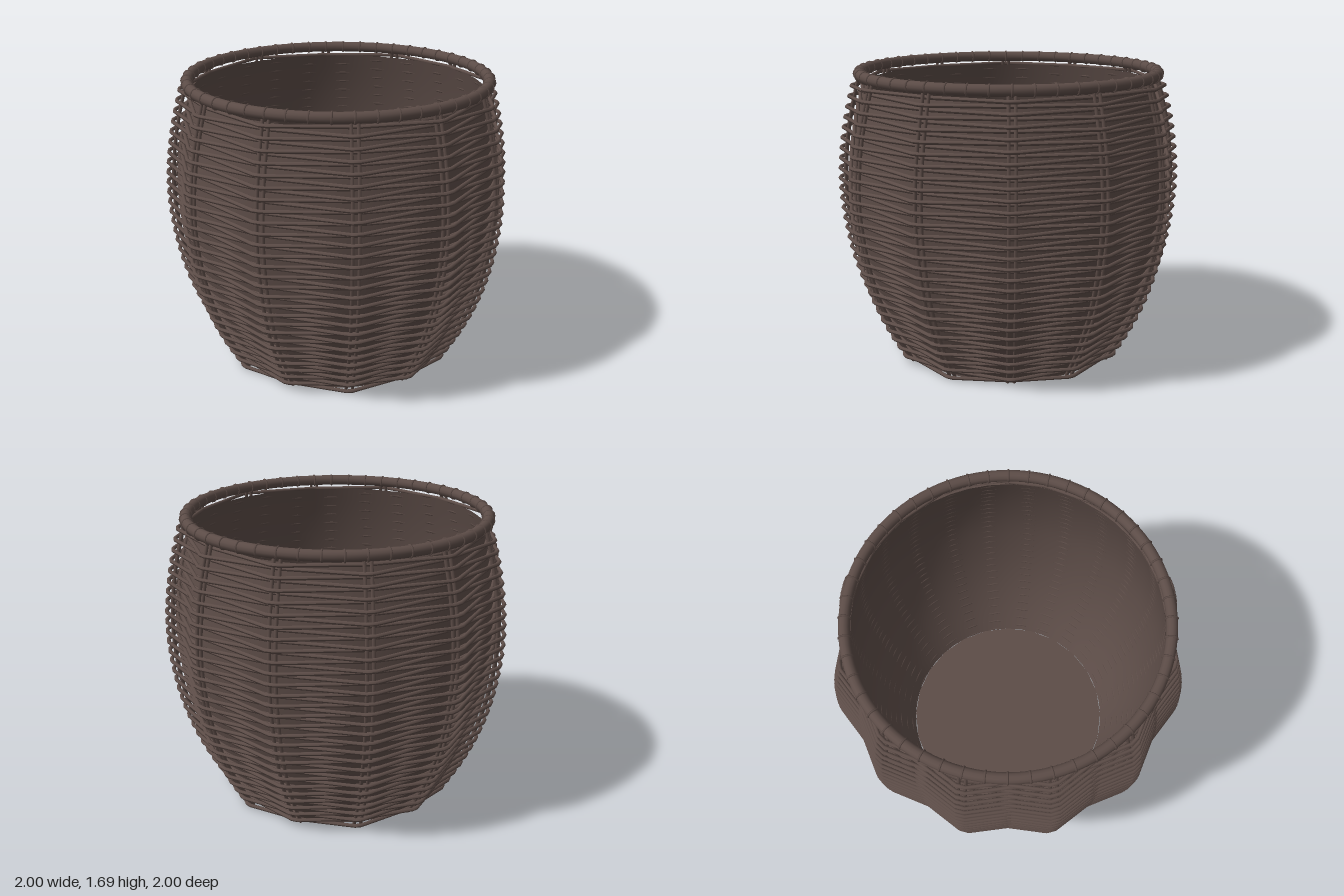
import * as THREE from 'three';
import { mergeGeometries } from 'three/addons/utils/BufferGeometryUtils.js';

const STAKES = 12;
const ROWS = 54;
const ROD = 0.011;
const INNER = 0.937; // radius of a rod passing inside a stake, relative to outside

// Barrel profile: outermost rod centre line as (radius, height)
const profile = new THREE.SplineCurve([
  [0.67, 0], [0.785, 0.2], [0.875, 0.4], [0.936, 0.6], [0.972, 0.8],
  [0.988, 1.0], [0.977, 1.2], [0.945, 1.4], [0.895, 1.6], [0.878, 1.65],
].map(([r, y]) => new THREE.Vector2(r, y)));
const samples = profile.getPoints(120);

function radiusAt(y) {
  const i = Math.max(1, samples.findIndex((p) => p.y >= y));
  const a = samples[i - 1], b = samples[i];
  return THREE.MathUtils.lerp(a.x, b.x, (y - a.y) / (b.y - a.y));
}

// One horizontal rod weaving outside and inside alternate stake pairs
function wovenRow(y, phase) {
  const sides = 8, corners = STAKES * 2;
  const g = new THREE.TorusGeometry(1, ROD, sides, corners);
  const pos = g.attributes.position;
  const outer = radiusAt(y);
  for (let v = 0; v < pos.count; v++) {
    const i = v % (corners + 1);
    const stake = Math.floor((i % corners) / 2);
    const r = outer * ((stake + phase) % 2 ? INNER : 1);
    const angle = stake * Math.PI * 2 / STAKES + (i % 2 ? 1 : -1) * 0.026;
    const across = Math.hypot(pos.getX(v), pos.getY(v)) - 1;
    const up = pos.getZ(v);
    pos.setXYZ(v, (r + across) * Math.cos(angle), y + up, -(r + across) * Math.sin(angle));
  }
  g.computeVertexNormals();
  return g;
}

// Upright stake following the barrel curve, shifted sideways by offset
function stakeRod(angle, offset) {
  const pts = [];
  for (let i = 0; i <= 12; i++) {
    const y = 0.012 + i * 1.62 / 12;
    const r = radiusAt(y) * (1 + INNER) / 2;
    pts.push(new THREE.Vector3(
      r * Math.cos(angle) - offset * Math.sin(angle), y,
      -r * Math.sin(angle) - offset * Math.cos(angle)));
  }
  return new THREE.TubeGeometry(new THREE.CatmullRomCurve3(pts), 24, 0.01, 6);
}

export function createModel() {
  const model = new THREE.Group();
  const wicker = new THREE.MeshStandardMaterial({ color: 0x5c4c47, side: THREE.DoubleSide });
  wicker.name = 'dark brown wicker';
  const add = (name, geometry) => {
    const mesh = new THREE.Mesh(geometry, wicker);
    mesh.name = name;
    model.add(mesh);
    return mesh;
  };

  // Woven wall
  const rows = [];
  for (let j = 0; j < ROWS; j++) rows.push(wovenRow(0.012 + j * 0.03, j % 2));
  add('wovenRows', mergeGeometries(rows));

  // Paired stakes
  const stakes = [];
  for (let k = 0; k < STAKES; k++) {
    for (const s of [-1, 1]) stakes.push(stakeRod(k * Math.PI * 2 / STAKES, s * 0.018));
  }
  add('stakes', mergeGeometries(stakes));

  // Smooth lining and floor
  const lining = [];
  for (let i = 0; i <= 20; i++) {
    const y = 0.012 + i * 1.588 / 20;
    lining.push(new THREE.Vector2(radiusAt(y) * INNER - 0.012, y));
  }
  add('lining', new THREE.LatheGeometry(lining, 48));
  const base = add('base', new THREE.CylinderGeometry(0.622, 0.622, 0.014, 24));
  base.position.y = 0.009;

  // Rolled rim with binding loops
  const rim = add('rim', new THREE.TorusGeometry(0.85, 0.031, 12, 96).rotateX(Math.PI / 2));
  rim.position.y = 1.652;
  const loops = [];
  for (let i = 0; i < 48; i++) {
    const g = new THREE.TorusGeometry(0.031, 0.006, 5, 12);
    g.translate(0.85, 0, 0).rotateY(i * Math.PI * 2 / 48);
    loops.push(g);
  }
  add('rimBindings', mergeGeometries(loops)).position.y = 1.652;

  return model;
}
